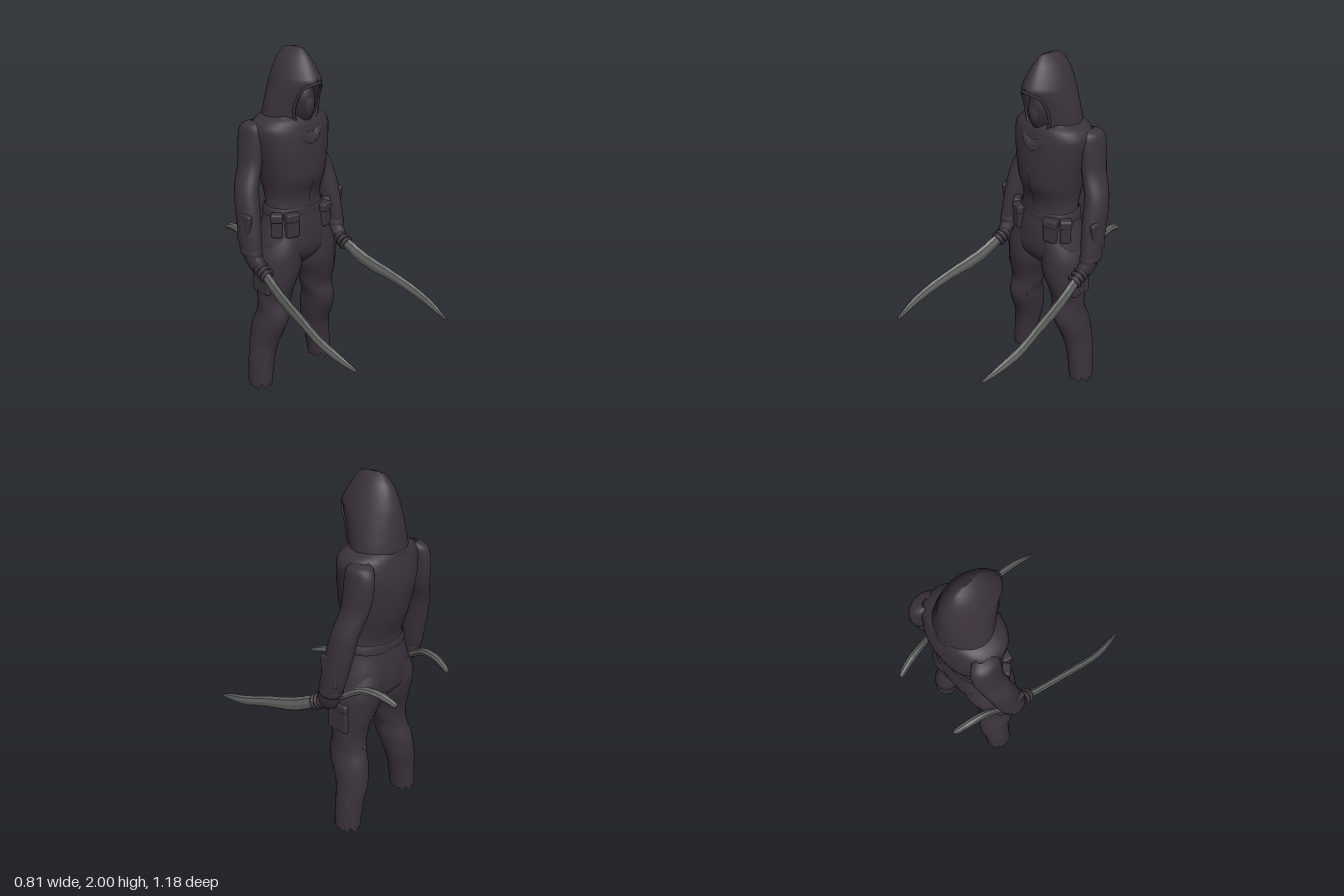
import * as THREE from 'three';
import { RoundedBoxGeometry } from 'three/addons/geometries/RoundedBoxGeometry.js';

const mat = (name, color, side = THREE.FrontSide) => {
  const m = new THREE.MeshStandardMaterial({ color, side });
  m.name = name;
  return m;
};

// Catmull-Rom subdivision of rows of numbers, k steps per span
function smooth(rows, k = 3) {
  const out = [];
  const at = i => rows[Math.min(rows.length - 1, Math.max(0, i))];
  for (let i = 0; i < rows.length - 1; i++)
    for (let s = 0; s < k; s++) {
      const t = s / k, a = at(i - 1), b = at(i), c = at(i + 1), d = at(i + 2);
      out.push(b.map((_, n) => 0.5 * (2 * b[n] + (c[n] - a[n]) * t
        + (2 * a[n] - 5 * b[n] + 4 * c[n] - d[n]) * t * t
        + (3 * b[n] - a[n] - 3 * c[n] + d[n]) * t * t * t)));
    }
  out.push(at(rows.length - 1));
  return out;
}

// Surface through rings of [x, y, z] points
function skin(rings, closed = true) {
  const n = rings[0].length, idx = [];
  for (let i = 0; i < rings.length - 1; i++)
    for (let j = 0; j < (closed ? n : n - 1); j++) {
      const a = i * n + j, b = i * n + (j + 1) % n;
      idx.push(a, a + n, b + n, a, b + n, b);
    }
  const g = new THREE.BufferGeometry();
  g.setAttribute('position', new THREE.Float32BufferAttribute(rings.flat(2), 3));
  g.setIndex(idx);
  g.computeVertexNormals();
  return g;
}

// Ring in the horizontal plane, p < 1 makes it squarer
function ring(cx, y, cz, rx, rz, n = 24, p = 1, edge = () => 0) {
  const pw = v => Math.sign(v) * Math.abs(v) ** p;
  return Array.from({ length: n }, (_, j) => {
    const t = j / n * Math.PI * 2;
    return [cx + rx * pw(Math.sin(t)), y + edge(t, j), cz + rz * pw(Math.cos(t))];
  });
}

export function createModel() {
  const cloth = mat('dark cloth', 0x3b323c, THREE.DoubleSide);
  const shade = mat('shadowed mask', 0x322a33, THREE.DoubleSide);
  const horn = mat('blade grey', 0x626462, THREE.DoubleSide);
  const model = new THREE.Group();
  const add = (name, geo, m = cloth, parent = model) => {
    const mesh = new THREE.Mesh(geo, m);
    mesh.name = name;
    parent.add(mesh);
    return mesh;
  };
  const box = (name, w, h, d, x, y, z, parent, r = 0.012, m = cloth) => {
    const b = add(name, new RoundedBoxGeometry(w, h, d, 2, r), m, parent);
    b.position.set(x, y, z);
    return b;
  };

  // Torso: y, half width, front z, back z
  const torso = [[1.67, .08, -.18, -.36], [1.645, .16, -.14, -.4], [1.6, .23, -.11, -.42],
    [1.5, .225, -.092, -.44], [1.4, .205, -.087, -.435], [1.3, .185, -.092, -.42],
    [1.22, .17, -.12, -.395], [1.15, .17, -.127, -.375], [1.07, .19, -.11, -.385],
    [.98, .225, -.1, -.4], [.9, .243, -.1, -.4], [.83, .2, -.125, -.385], [.76, .06, -.2, -.3]];
  add('torso', skin(smooth(torso).map(([y, w, f, b]) =>
    ring(0, y, (f + b) / 2, w, (f - b) / 2, 32, .88))));

  // Front closure of the jacket
  const seam = smooth(torso.slice(3, 8)).map(([y, , f]) => [[-.006, y, f + .004], [.006, y, f + .004]]);
  add('frontSeam', skin(seam, false));

  // Belt
  add('belt', skin([[1.14, .172], [1.135, .184], [1.095, .192], [1.09, .182]].map(([y, w]) =>
    ring(0, y, -.25, w, w * .3 + .08, 32, .88))));

  // Hood: y, half width, front z, back z, half angle of the face opening
  const hood = [[2, .004, -.2, -.25, 0], [1.99, .03, -.15, -.295, 0], [1.95, .066, -.115, -.335, 0],
    [1.9, .092, -.08, -.36, 0], [1.85, .112, -.052, -.376, 0], [1.83, .119, -.046, -.382, .08],
    [1.8, .127, -.06, -.388, .6], [1.75, .14, -.085, -.395, .68], [1.7, .15, -.1, -.402, .7],
    [1.65, .16, -.115, -.41, .62], [1.63, .158, -.12, -.408, .55], [1.615, .135, -.14, -.39, .55]];
  const hoodRings = hood.map(([y, w, f, b, gap]) => Array.from({ length: 37 }, (_, j) => {
    const t = gap + j / 36 * (Math.PI * 2 - 2 * gap), c = Math.cos(t);
    return [w * Math.sin(t) * (1 - .15 * Math.max(0, c)), y, (f + b) / 2 + (f - b) / 2 * c];
  }));
  add('hood', skin(hoodRings, false));

  // Rolled rim of the face opening
  const side = hoodRings.slice(5, 11).map(r => new THREE.Vector3(...r[0]));
  const rim = [...side].reverse().concat(side.map(v => new THREE.Vector3(-v.x, v.y, v.z)));
  add('hoodRim', new THREE.TubeGeometry(new THREE.CatmullRomCurve3(rim), 48, .008, 6));

  // Masked face
  const face = add('face', new THREE.SphereGeometry(1, 24, 16), shade);
  face.scale.set(.072, .14, .1);
  face.position.set(0, 1.72, -.192);
  const mask = add('mask', new THREE.SphereGeometry(1, 16, 12), cloth);
  mask.scale.set(.045, .08, .05);
  mask.position.set(0, 1.71, -.138);

  // Cowl draped to a ragged point on the chest
  const dip = (d, rag) => (t, j) => -d * Math.max(0, Math.cos(t)) ** 4
    + (Math.cos(t) > 0 && j % 2 ? rag : 0);
  add('cowl', skin([
    ring(0, 1.67, -.25, .1, .1, 48, 1, dip(.1, 0)),
    ring(0, 1.66, -.25, .135, .15, 48, 1, dip(.1, 0)),
    ring(0, 1.625, -.25, .165, .168, 48, 1, dip(.12, .012)),
    ring(0, 1.61, -.25, .155, .155, 48, 1, dip(.12, .012))]));

  // Row formats below: y, centre x, centre z, half width, half depth
  const leg = [[.98, .1, -.25, .11, .14], [.88, .13, -.25, .13, .15], [.77, .137, -.243, .134, .14],
    [.66, .16, -.24, .11, .112], [.58, .167, -.243, .1, .095], [.5, .18, -.24, .086, .11],
    [.42, .192, -.263, .089, .115], [.3, .208, -.295, .083, .097], [.2, .227, -.3, .078, .084],
    [.1, .24, -.3, .072, .08], [.03, .247, -.3, .068, .078]];
  const arm = [[1.62, .19, -.33, .02, .03], [1.6, .208, -.333, .05, .07], [1.55, .217, -.337, .054, .086],
    [1.47, .227, -.337, .055, .086], [1.38, .242, -.33, .055, .08], [1.27, .285, -.31, .06, .076],
    [1.15, .302, -.287, .06, .08], [1.03, .314, -.265, .056, .077], [.95, .322, -.25, .05, .072],
    [.9, .322, -.238, .046, .062]];
  // Blade, tip to pommel: x, y, z, half width, half height
  const blade = [[.365, .55, .59, .006, .008], [.382, .59, .48, .017, .025], [.387, .63, .35, .02, .032],
    [.367, .68, .2, .02, .036], [.338, .73, .02, .02, .046], [.322, .79, -.1, .022, .044],
    [.312, .85, -.2, .02, .03], [.29, .91, -.31, .018, .024], [.262, .965, -.4, .02, .024],
    [.24, .97, -.5, .022, .022], [.22, .94, -.58, .016, .018], [.219, .935, -.59, .003, .004]];

  for (const s of [1, -1]) {
    const half = new THREE.Group();
    half.name = s > 0 ? 'leftSide' : 'rightSide';
    model.add(half);
    const put = (name, rows, n, edge) => add(name, skin(rows.map(([y, x, z, rx, rz], i) =>
      ring(s * x, y, z, rx, rz, n, 1, i === rows.length - 1 ? edge : undefined))), cloth, half);

    // Trouser leg with torn hem
    put('leg', smooth(leg), 28, (t, j) => [0, -.022, -.005, -.026, .012, -.015, -.028][j % 7]);
    // Sleeve, bracer and glove
    put('arm', smooth(arm), 20);
    put('cuff', [[.945, .322, -.25, .045, .065], [.94, .322, -.249, .053, .074],
      [.91, .322, -.242, .052, .068], [.905, .322, -.24, .044, .06]], 20);
    put('glove', smooth([[.92, .322, -.24, .043, .06], [.87, .317, -.222, .044, .066],
      [.82, .308, -.205, .036, .058], [.79, .302, -.19, .012, .025]]), 16);
    const plate = box('bracerPlate', .03, .18, .09, s * .349, 1.06, -.262, half);
    plate.rotation.x = .17;

    // Fingers closed around the grip
    for (let i = 0; i < 4; i++) {
      const f = add('finger', new THREE.TorusGeometry(.034, .012, 6, 12), cloth, half);
      f.position.set(s * .313, .852 - i * .015, -.205 + i * .024);
      f.rotation.x = .45;
    }

    // Curved blade and grip, faceted
    const bladeGeo = skin(smooth(blade, 4).map(([x, y, z, rx, ry], i) =>
      Array.from({ length: 8 }, (_, j) => {
        const t = j / 8 * Math.PI * 2, k = i % 2 ? 1 : .95;
        return [s * x - rx * k * Math.sin(t), y + ry * k * Math.cos(t), z];
      }))).toNonIndexed();
    bladeGeo.computeVertexNormals();
    add('blade', bladeGeo, horn, half);

    // Belt pouches with flaps, thigh pocket
    const pouch = (x, z, w, d, turn) => {
      const g = new THREE.Group();
      g.name = 'beltPouch';
      g.position.set(s * x, 1.055, z);
      g.rotation.y = s * turn;
      half.add(g);
      box('pouchBody', w, .14, d, 0, 0, 0, g);
      box('pouchFlap', w + .008, .05, d + .008, 0, .045, 0, g);
    };
    pouch(.125, -.128, .075, .05, .25);
    pouch(.188, -.18, .06, .05, .85);
    box('thighPocket', .04, .17, .13, s * .256, .73, -.24, half, .015);
    box('pocketFlap', .045, .05, .135, s * .258, .8, -.24, half, .015);
  }

  // Small grey patches on the knees
  box('kneePatch', .03, .018, .009, -.105, .5, -.172, model, .003, horn).rotation.y = -.9;
  box('backPatch', .022, .022, .009, .165, .53, -.345, model, .003, horn);
  return model;
}
